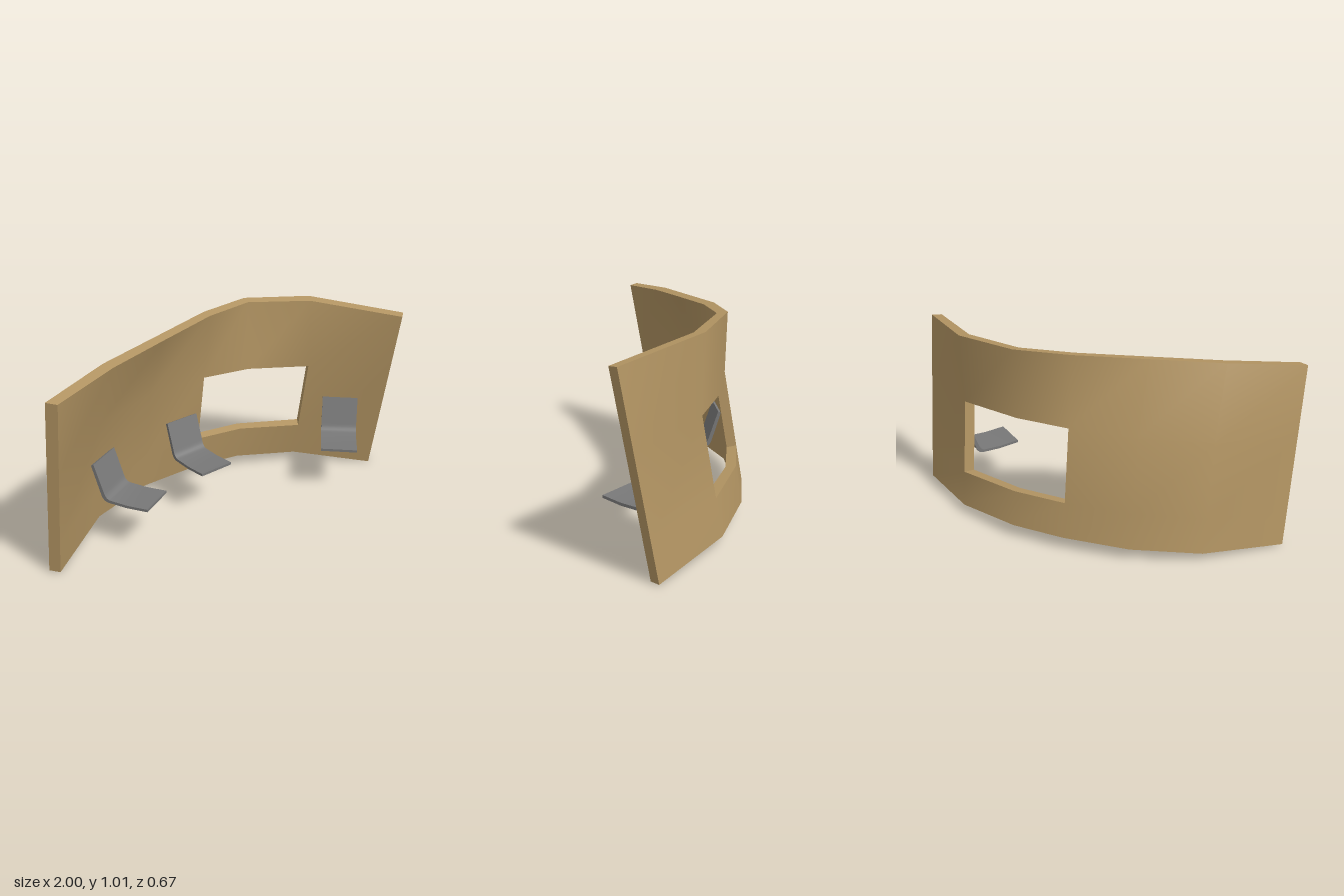
import * as THREE from 'three';
import { toCreasedNormals } from 'three/addons/utils/BufferGeometryUtils.js';

const wood = new THREE.MeshStandardMaterial({ color: 0xb39563 });
wood.name = 'tan wood';
const grey = new THREE.MeshStandardMaterial({ color: 0x787878 });
grey.name = 'seat grey';

// Curved wall: columns across, rows upward, with a window opening
function wallGeometry() {
  const outerX = [-1, -0.65, -0.31, 0.03, 0.31, 0.65, 1];
  const innerX = [-0.96, -0.625, -0.3, 0.036, 0.3, 0.62, 0.96];
  const baseZ = [0.078, -0.206, -0.32, -0.343, -0.32, -0.206, 0.078];
  const topZ = [0.078, -0.1, -0.221, -0.343, -0.393, -0.277, 0.078]; // warped top edge
  const rows = [0.022, 0.211, 0.6, 0.96];
  const thick = [0.036, 0.05, 0.05, 0.05, 0.05, 0.05, 0.036];
  const point = (inner, [r, c]) => {
    const z = (r === 3 ? topZ : baseZ)[c];
    return inner ? [innerX[c], rows[r], z + thick[c]] : [outerX[c], rows[r], z];
  };
  const solid = (r, c) =>
    r >= 0 && r < 3 && c >= 0 && c < 6 && !(r === 1 && (c === 3 || c === 4));

  const pos = [];
  const quad = (a, b, c, d) => pos.push(...a, ...b, ...c, ...a, ...c, ...d);
  for (let r = 0; r < 3; r++) {
    for (let c = 0; c < 6; c++) {
      if (!solid(r, c)) continue;
      const k = [[r, c], [r, c + 1], [r + 1, c + 1], [r + 1, c]];
      const i = k.map((p) => point(true, p));
      const o = k.map((p) => point(false, p));
      quad(i[0], i[1], i[2], i[3]);
      quad(o[1], o[0], o[3], o[2]);
      // rims wherever the neighbouring panel is missing
      [[r - 1, c], [r, c + 1], [r + 1, c], [r, c - 1]].forEach(([nr, nc], e) => {
        const f = (e + 1) % 4;
        if (!solid(nr, nc)) quad(i[e], o[e], o[f], i[f]);
      });
    }
  }
  const g = new THREE.BufferGeometry();
  g.setAttribute('position', new THREE.Float32BufferAttribute(pos, 3));
  return toCreasedNormals(g, 0.6);
}

// Bent seat: side profile (forward, up) extruded across its width
function seatGeometry(width) {
  const s = new THREE.Shape();
  s.moveTo(0.25, 0.249);
  s.lineTo(0.14, 0.242);
  s.lineTo(0.04, 0.246);
  s.quadraticCurveTo(0.008, 0.248, -0.002, 0.29);
  s.lineTo(-0.046, 0.43);
  s.lineTo(-0.032, 0.437);
  s.lineTo(0.014, 0.3);
  s.quadraticCurveTo(0.024, 0.262, 0.05, 0.26);
  s.lineTo(0.14, 0.256);
  s.lineTo(0.25, 0.262);
  s.closePath();
  const g = new THREE.ExtrudeGeometry(s, { depth: width, bevelEnabled: false, curveSegments: 5 });
  g.translate(0, 0, -width / 2);
  return toCreasedNormals(g, 0.6);
}

export function createModel() {
  const model = new THREE.Group();

  // Wall leans forward at the top
  const wall = new THREE.Mesh(wallGeometry(), wood);
  wall.name = 'curvedWall';
  wall.rotation.x = THREE.MathUtils.degToRad(9.5);
  model.add(wall);

  // Seats: bend position x, z, then facing direction x, z
  const seats = [
    ['rightSeat', -0.602, -0.032, 0.53, 0.85],
    ['middleSeat', -0.092, -0.168, 0.11, 0.99],
    ['leftSeat', 0.745, 0.08, -0.64, 0.77],
  ];
  const seatShape = seatGeometry(0.19);
  for (const [name, x, z, dx, dz] of seats) {
    const seat = new THREE.Mesh(seatShape, grey);
    seat.name = name;
    seat.position.set(x, 0, z);
    seat.rotation.y = Math.atan2(-dz, dx);
    model.add(seat);
  }
  return model;
}
